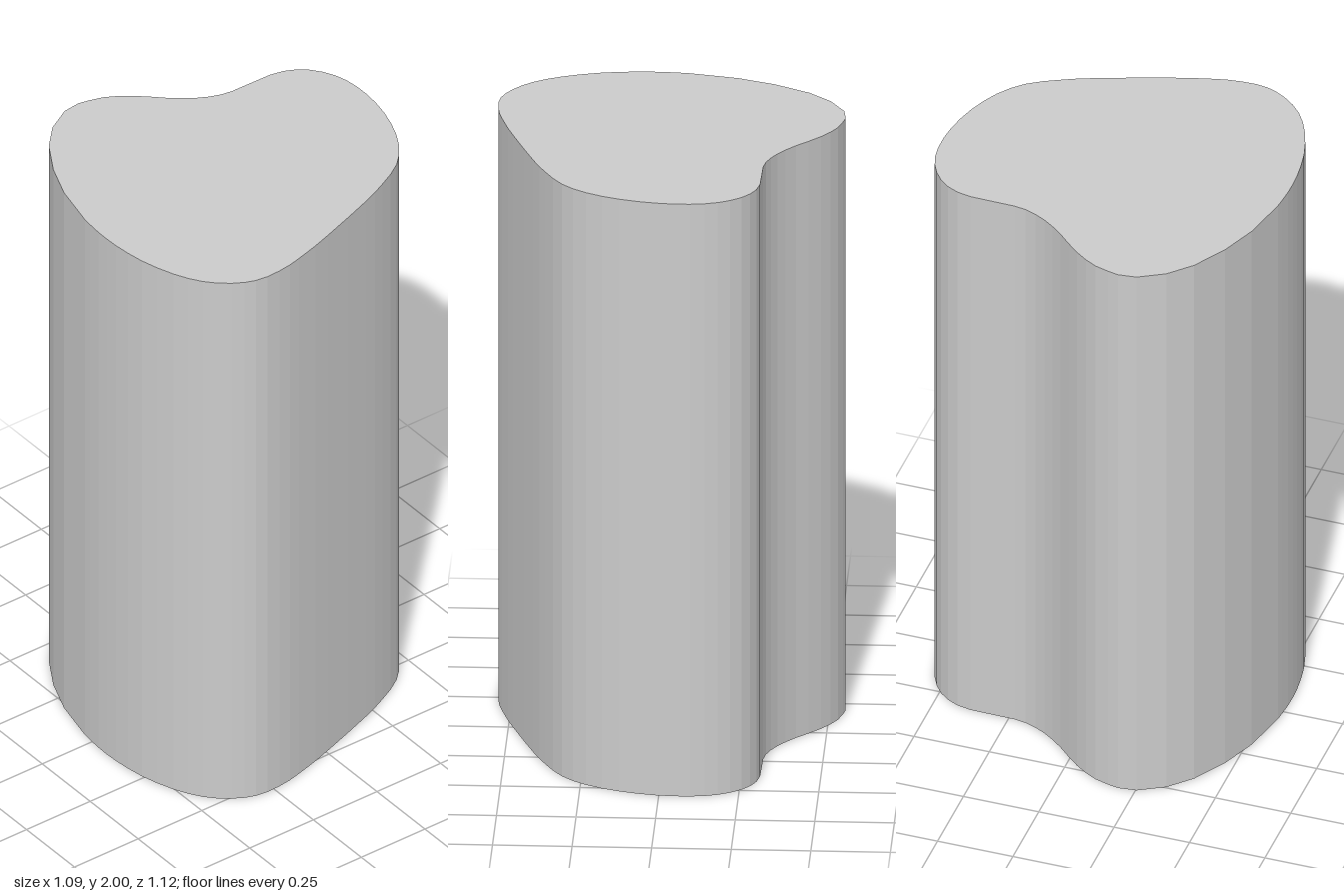
import * as THREE from 'three';

// Outline seen from above, as [x, z]: the smoothly curved stretch...
const curved = [
  [-0.55, 0.194], [-0.528, 0.11], [-0.475, 0.028], [-0.398, -0.055], [-0.345, -0.129],
  [-0.315, -0.206], [-0.311, -0.295], [-0.306, -0.404], [-0.268, -0.481], [-0.197, -0.534],
  [-0.11, -0.557], [0, -0.555], [0.12, -0.528], [0.23, -0.478], [0.312, -0.407],
  [0.371, -0.303], [0.416, -0.197], [0.49, 0.013], [0.519, 0.11], [0.54, 0.2],
  [0.543, 0.297], [0.516, 0.37], [0.457, 0.442], [0.371, 0.496], [0.253, 0.537],
  [0.135, 0.555], [0.04, 0.557], [-0.043, 0.55],
];
// ...and the stretch of broader flat facets that closes it
const faceted = [
  [-0.197, 0.516], [-0.315, 0.469], [-0.425, 0.404], [-0.496, 0.336], [-0.543, 0.253],
];

export function createModel() {
  const group = new THREE.Group();
  group.name = 'column';

  const toPoint = ([x, z]) => new THREE.Vector2(x, z);
  const outline = [
    ...new THREE.SplineCurve(curved.map(toPoint)).getPoints(56),
    ...faceted.map(toPoint),
  ];

  // Straight prism, turned upright so that it stands on y = 0
  const geometry = new THREE.ExtrudeGeometry(new THREE.Shape(outline), {
    depth: 2, bevelEnabled: false, steps: 1,
  });
  geometry.rotateX(Math.PI / 2).translate(0, 2, 0);

  const body = new THREE.Mesh(geometry, new THREE.MeshStandardMaterial({ color: 0xcccccc }));
  body.name = 'columnBody';
  group.add(body);
  return group;
}
